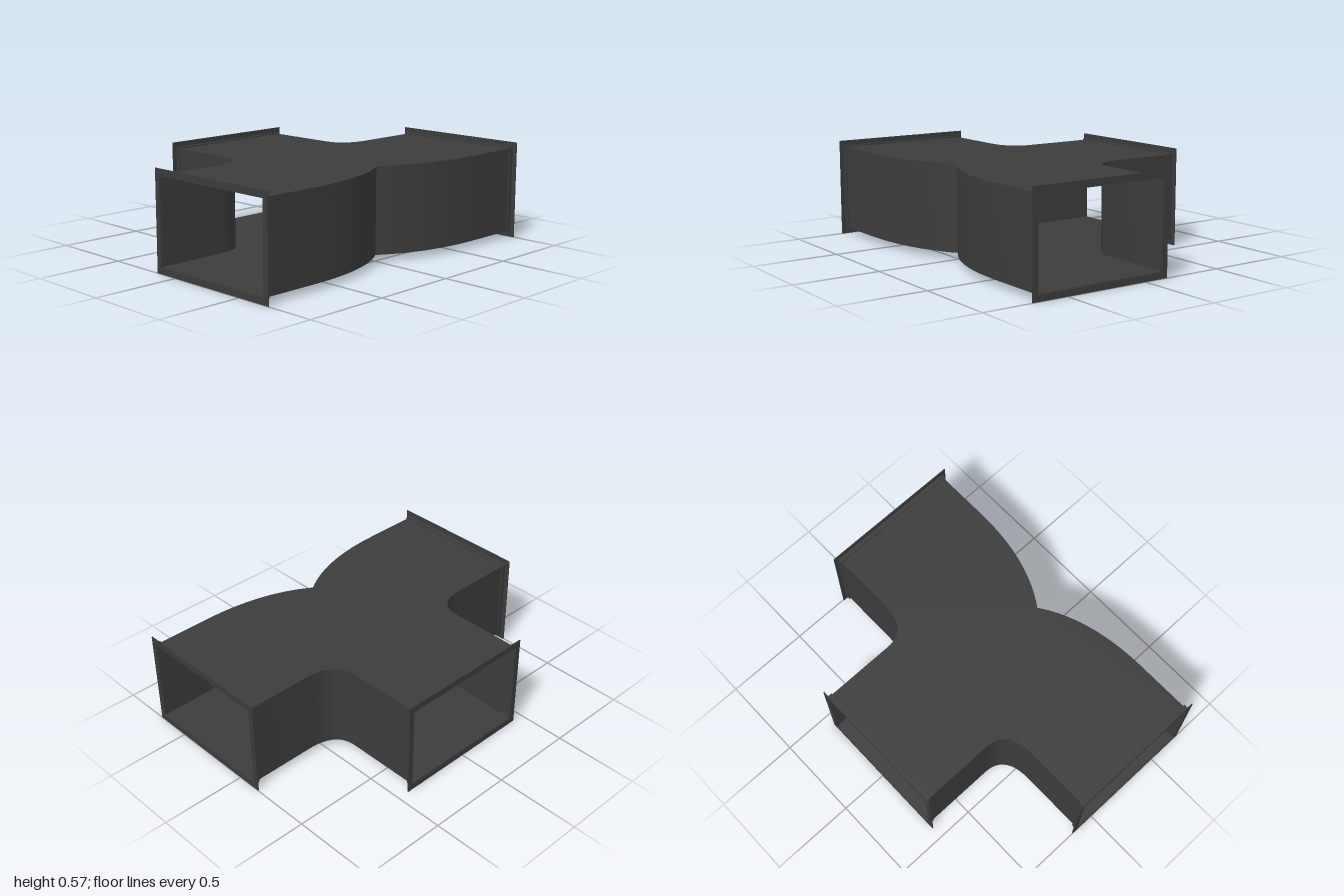
import * as THREE from 'three';
import { toCreasedNormals } from 'three/addons/utils/BufferGeometryUtils.js';

const material = new THREE.MeshStandardMaterial({ color: 0x3c3c3c, side: THREE.DoubleSide });
const BOTTOM = 0.036, TOP = 0.534, MID = 0.285, SKIN = 0.004;
const DUCT_W = 0.796, DUCT_H = TOP - BOTTOM;
const V = (x, z) => new THREE.Vector2(x, z);

// Half of the front wall: straight run, then a sweep in to the central notch
function frontHalf() {
  const curve = new THREE.QuadraticBezierCurve(V(0.65, 0.68), V(0.25, 0.68), V(0, 0.505));
  return [V(0.998, 0.68), ...curve.getPoints(14)];
}

// Inside bend from a side outlet to the back outlet
function bend() {
  const curve = new THREE.QuadraticBezierCurve(V(0.6, -0.115), V(0.4, -0.115), V(0.4, -0.27));
  return [V(0.998, -0.115), ...curve.getPoints(14), V(0.4, -0.713)];
}

const mirror = (pts) => pts.map((p) => V(-p.x, p.y)).reverse();

// Extrude a plan outline given as (x, z) upwards from height y
function extrudePlan(pts, y, height) {
  const shape = new THREE.Shape(pts.map((p) => V(p.x, -p.y)));
  const geo = new THREE.ExtrudeGeometry(shape, { depth: height, bevelEnabled: false });
  geo.rotateX(-Math.PI / 2).translate(0, y, 0);
  return toCreasedNormals(geo, 0.5);
}

// Thin upright sheet along a plan path, thickened to the given side
function wall(path, side) {
  const inner = path.map((p, i) => {
    const a = path[Math.max(i - 1, 0)], b = path[Math.min(i + 1, path.length - 1)];
    const d = b.clone().sub(a).normalize();
    return V(p.x - d.y * SKIN * side, p.y + d.x * SKIN * side);
  });
  return extrudePlan([...path, ...inner.reverse()], BOTTOM, DUCT_H);
}

// Rectangular ring in the xy plane, extruded towards +z
function frame(outW, outH, inW, inH, depth) {
  const rect = (Type, w, h) => new Type([V(-w / 2, -h / 2), V(w / 2, -h / 2), V(w / 2, h / 2), V(-w / 2, h / 2)]);
  const shape = rect(THREE.Shape, outW, outH);
  shape.holes.push(rect(THREE.Path, inW, inH));
  return new THREE.ExtrudeGeometry(shape, { depth, bevelEnabled: false });
}

function addMesh(parent, name, geo) {
  const mesh = new THREE.Mesh(geo, material);
  mesh.name = name;
  parent.add(mesh);
  return mesh;
}

// Connection flange: flat face plate on a short angle collar; z = 0 is the outer face
function makeFlange(name) {
  const group = new THREE.Group();
  group.name = name;
  const w = DUCT_W - 2 * SKIN, h = DUCT_H - 2 * SKIN;
  addMesh(group, 'facePlate', frame(0.86, 0.57, w + 0.01, h + 0.01, 0.006).translate(0, 0, -0.006));
  addMesh(group, 'collar', frame(DUCT_W + 0.014, DUCT_H + 0.014, w + 0.006, h + 0.006, 0.028).translate(0, 0, -0.033));
  return group;
}

export function createModel() {
  const model = new THREE.Group();
  model.name = 'ductJunction';

  const front = frontHalf(), back = bend();
  const outline = [...front, ...mirror(front).slice(1), ...mirror(back).reverse(), ...back.slice().reverse()];

  // Flat top and bottom sheets
  addMesh(model, 'bottomPanel', extrudePlan(outline, BOTTOM, SKIN));
  addMesh(model, 'topPanel', extrudePlan(outline, TOP - SKIN, SKIN));

  // Curved side sheets
  addMesh(model, 'leftFrontWall', wall(front, 1));
  addMesh(model, 'rightFrontWall', wall(mirror(front), 1));
  addMesh(model, 'leftBendWall', wall(back, -1));
  addMesh(model, 'rightBendWall', wall(mirror(back), -1));

  // Three outlets
  for (const [name, x, z, turn] of [
    ['leftFlange', 1, 0.2825, Math.PI / 2],
    ['rightFlange', -1, 0.2825, -Math.PI / 2],
    ['backFlange', 0, -0.715, Math.PI],
  ]) {
    const flange = makeFlange(name);
    flange.position.set(x, MID, z);
    flange.rotation.y = turn;
    model.add(flange);
  }
  return model;
}
